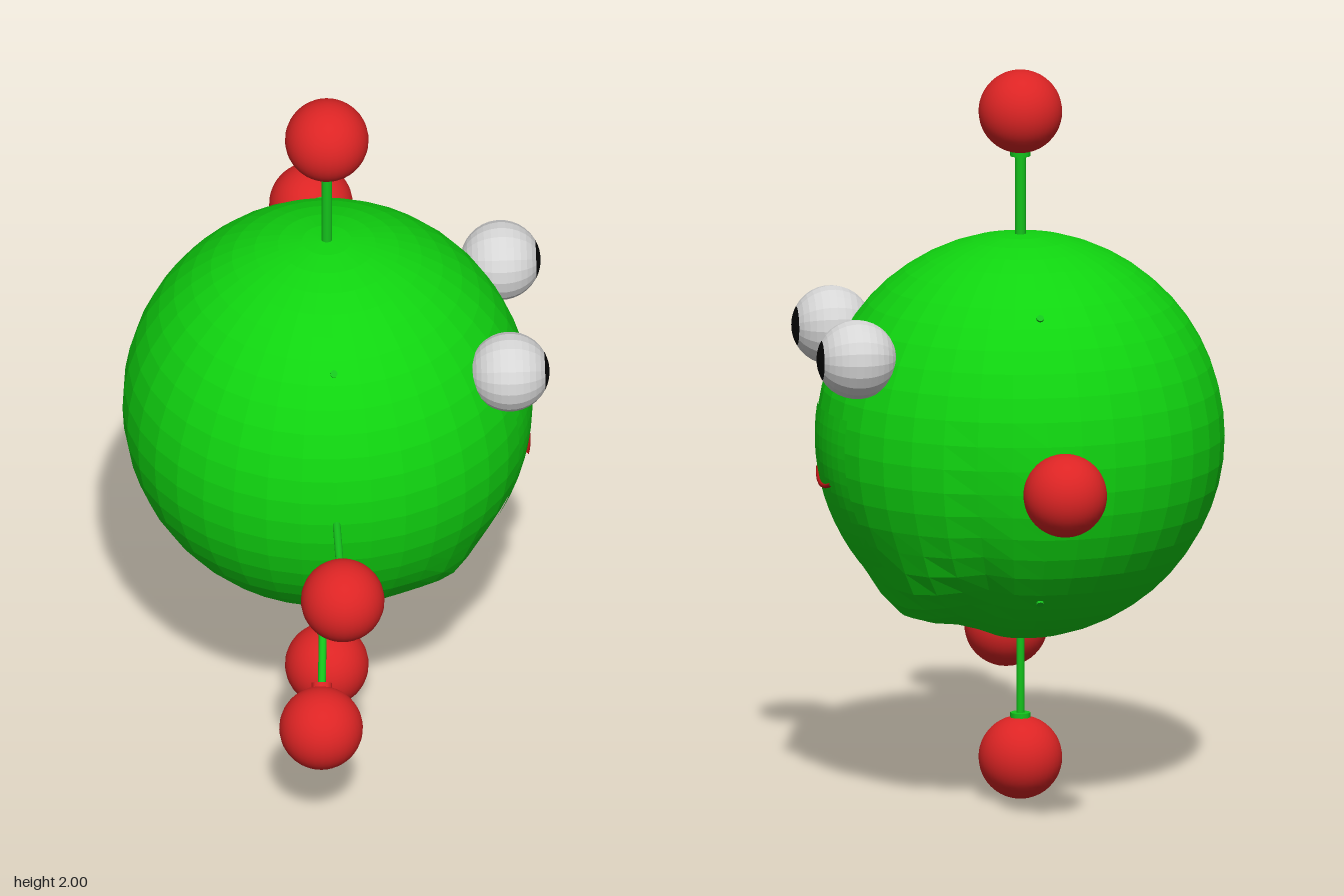
import * as THREE from 'three';

const CENTRE = new THREE.Vector3(-0.02, 1, 0);
const R = 0.552;
const UP = new THREE.Vector3(0, 1, 0);

function mat(name, color, flat = false) {
  const m = new THREE.MeshStandardMaterial({ color, flatShading: flat });
  m.name = name;
  return m;
}

function add(parent, name, geometry, material) {
  const mesh = new THREE.Mesh(geometry, material);
  mesh.name = name;
  parent.add(mesh);
  return mesh;
}

// Straight rod between two points
function rod(parent, name, a, b, radius, material) {
  const dir = b.clone().sub(a);
  const mesh = add(parent, name, new THREE.CylinderGeometry(radius, radius, dir.length(), 10), material);
  mesh.position.copy(a).addScaledVector(dir, 0.5);
  mesh.quaternion.setFromUnitVectors(UP, dir.normalize());
  return mesh;
}

// Round body with a soft groove and swelling on the lower side
function bodyGeometry() {
  const g = new THREE.SphereGeometry(R, 36, 26);
  const p = g.attributes.position;
  const n = new THREE.Vector3();
  const bell = (v, c, w) => Math.exp(-(((v - c) / w) ** 2));
  for (let i = 0; i < p.count; i++) {
    n.fromBufferAttribute(p, i).normalize();
    const low = THREE.MathUtils.smoothstep(-n.y, 0.4, 0.8);
    const lowBack = THREE.MathUtils.smoothstep(-0.75 * n.y - 0.66 * n.z, 0.4, 0.85);
    const r = R + 0.03 * low * bell(n.x, 0.58, 0.14) - 0.018 * lowBack * bell(n.x, 0.27, 0.11);
    p.setXYZ(i, n.x * r, n.y * r, n.z * r);
  }
  g.computeVertexNormals();
  return g;
}

// Thin curved plate that follows the body around the mouth
function panelGeometry() {
  const g = new THREE.PlaneGeometry(0.44, 0.43, 12, 12);
  const p = g.attributes.position;
  const r = R + 0.003;
  for (let i = 0; i < p.count; i++) {
    const y = p.getY(i) - 0.125, z = -p.getX(i);
    p.setXYZ(i, Math.sqrt(r * r - y * y - z * z), y, z);
  }
  g.computeVertexNormals();
  return g;
}

export function createModel() {
  const model = new THREE.Group();
  model.name = 'antennaCreature';

  const green = mat('bodyGreen', 0x10d510, true);
  const rodGreen = mat('stalkGreen', 0x14c41c);
  const red = mat('ballRed', 0xdc2424);
  const darkRed = mat('mouthRed', 0xb81414);
  const white = mat('eyeWhite', 0xd6d6d6, true);
  const black = mat('pupilBlack', 0x050505);

  add(model, 'body', bodyGeometry(), green).position.copy(CENTRE);
  add(model, 'mouthPanel', panelGeometry(), green).position.copy(CENTRE);

  // Stalks tipped with balls
  const tips = {
    top: [-0.02, 1.887, 0],
    bottom: [-0.02, 0.113, 0],
    front: [-0.02, 1, 0.887],
    back: [-0.02, 1, -0.887],
    lowerFront: [-0.065, 0.36, 0.61],
  };
  for (const [name, xyz] of Object.entries(tips)) {
    const tip = new THREE.Vector3(...xyz);
    const limb = new THREE.Group();
    limb.name = name + 'Antenna';
    const root = CENTRE.clone().lerp(tip, 0.55);
    rod(limb, 'stalk', root, tip, name === 'top' ? 0.015 : 0.011, rodGreen);
    rod(limb, 'collar', CENTRE.clone().lerp(tip, 0.862), tip, 0.028, name === 'top' || name === 'bottom' ? rodGreen : red);
    add(limb, 'ball', new THREE.SphereGeometry(0.113, 32, 24), red).position.copy(tip);
    model.add(limb);
  }
  // Red strip along the underside of the front stalk
  rod(model, 'frontStalkStrip', new THREE.Vector3(-0.02, 0.996, 0.58), new THREE.Vector3(-0.02, 0.996, 0.85), 0.009, darkRed);

  // Small studs at the other diagonals
  for (const [sy, sz] of [[1, 1], [1, -1], [-1, -1]]) {
    const dir = new THREE.Vector3(0, sy, sz).normalize();
    const at = (d) => CENTRE.clone().addScaledVector(dir, d);
    rod(model, 'stud', at(0.52), at(0.557), 0.01, rodGreen);
  }

  // Eyes with pupils looking along +x
  for (const z of [0.24, -0.26]) {
    const eye = new THREE.Group();
    eye.name = z > 0 ? 'frontEye' : 'backEye';
    const cap = 0.51;
    add(eye, 'eyeball', new THREE.SphereGeometry(0.108, 20, 14, 0, Math.PI * 2, cap, Math.PI - cap), white);
    add(eye, 'pupil', new THREE.SphereGeometry(0.108, 24, 6, 0, Math.PI * 2, 0, cap), black);
    eye.rotation.z = -Math.PI / 2;
    eye.position.set(0.462, 1.267, z);
    model.add(eye);
  }

  // Smile wrapped on the body
  const smile = [];
  for (let i = 0; i <= 12; i++) {
    const t = i / 6 - 1;
    const y = -0.122 + 0.022 * t * t, z = 0.128 * t;
    smile.push(new THREE.Vector3(Math.sqrt((R + 0.005) ** 2 - y * y - z * z), y, z).add(CENTRE));
  }
  add(model, 'mouth', new THREE.TubeGeometry(new THREE.CatmullRomCurve3(smile), 32, 0.006, 8), darkRed);

  return model;
}
